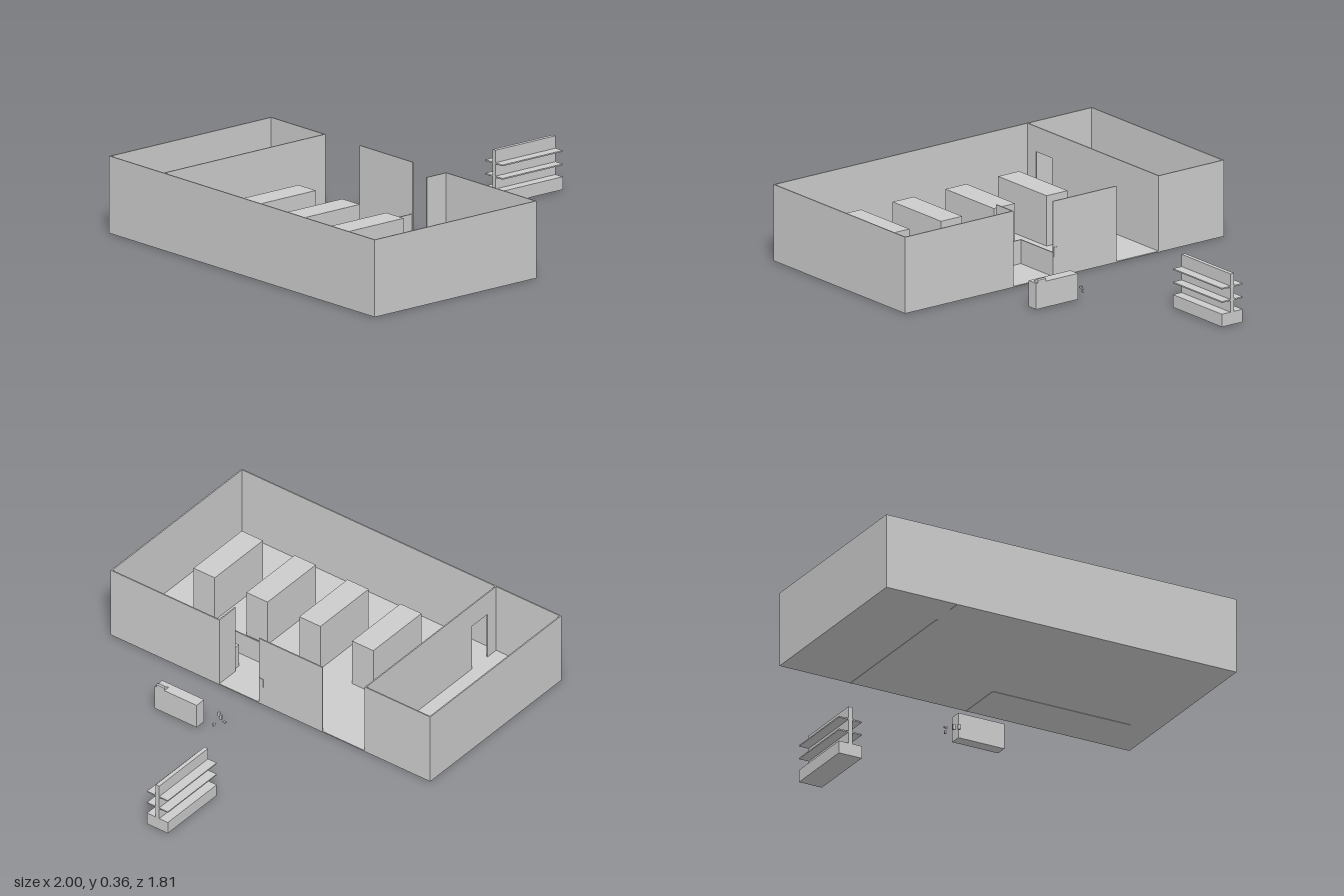
import * as THREE from 'three';

const material = new THREE.MeshStandardMaterial({ color: 0xcccccc, flatShading: true });

// Box given by its minimum and maximum along x, y and z
function block(parent, name, [x0, x1], [y0, y1], [z0, z1]) {
  const mesh = new THREE.Mesh(new THREE.BoxGeometry(x1 - x0, y1 - y0, z1 - z0), material);
  mesh.position.set((x0 + x1) / 2, (y0 + y1) / 2, (z0 + z1) / 2);
  mesh.name = name;
  parent.add(mesh);
  return mesh;
}

function makeGroup(parent, name) {
  const g = new THREE.Group();
  g.name = name;
  parent.add(g);
  return g;
}

export function createModel() {
  const model = new THREE.Group();
  model.name = 'shop';
  const T = 0.006, H = 0.363, L = -1, R = -0.034, B = -0.907, F = 0.907;
  const full = [0.003, H];

  // Floor and outer walls
  const room = makeGroup(model, 'room');
  block(room, 'floor', [L, R], [0.002, 0.007], [B, F]);
  block(room, 'frontWall', [L, R], full, [F - T, F]);
  block(room, 'backWall', [L, R], full, [B, B + T]);
  block(room, 'sideWall', [L, L + T], full, [B, F]);

  // Open side, left with two entrances
  for (const z of [[B, -0.535], [-0.295, 0.065], [0.293, F]])
    block(room, 'entranceWall', [R - T, R], full, z);
  block(room, 'entranceReturn', [-0.155, R], full, [0.29, 0.296]);
  block(room, 'doorHandle', [R, R + 0.003], [0.1, 0.145], [0.04, 0.062]);

  // Dividing wall with a doorway to the back room
  const wall = new THREE.Shape();
  [[L, 0], [-0.93, 0], [-0.93, 0.245], [-0.815, 0.245], [-0.815, 0], [R, 0], [R, H], [L, H]]
    .forEach(([x, y], i) => (i ? wall.lineTo(x, y) : wall.moveTo(x, y)));
  const divider = new THREE.Mesh(
    new THREE.ExtrudeGeometry(wall, { depth: T, bevelEnabled: false }), material);
  divider.name = 'dividingWall';
  divider.position.z = -0.541;
  room.add(divider);

  // Low L-shaped partition around the checkout
  const partition = makeGroup(model, 'lowPartition');
  block(partition, 'partitionLong', [-0.278, -0.272], [0, 0.12], [0.058, 0.775]);
  block(partition, 'partitionShort', [-0.278, R], [0, 0.12], [0.058, 0.064]);

  // Shelf blocks in a row, checkout counter and corner cabinet
  const fittings = makeGroup(model, 'fittings');
  for (let i = 0; i < 4; i++)
    block(fittings, 'aisleShelf', [-0.755, -0.4], [0.005, 0.245], [-0.302 + i * 0.3, -0.182 + i * 0.3]);
  block(fittings, 'checkoutCounter', [-0.195, -0.135], [0.005, 0.126], [0.302, 0.542]);
  block(fittings, 'cornerCabinet', [-0.157, R - T], [0.005, 0.245], [0.72, F - T]);

  // Separate counter with a slanted register
  const counter = makeGroup(model, 'counter');
  block(counter, 'counterBody', [0.23, 0.286], [0.004, 0.127], [0.172, 0.41]);
  const wedge = new THREE.Shape();
  wedge.moveTo(0.256, 0.127);
  wedge.lineTo(0.286, 0.127);
  wedge.lineTo(0.286, 0.14);
  wedge.lineTo(0.28, 0.145);
  wedge.lineTo(0.256, 0.131);
  const register = new THREE.Mesh(
    new THREE.ExtrudeGeometry(wedge, { depth: 0.045, bevelEnabled: false }), material);
  register.name = 'register';
  register.position.z = 0.355;
  counter.add(register);

  // Separate two-sided display rack
  const rack = makeGroup(model, 'displayRack');
  const rx = [0.637, 0.997];
  block(rack, 'rackBase', rx, [0.004, 0.064], [-0.213, -0.095]);
  block(rack, 'rackPanel', rx, [0.064, 0.245], [-0.164, -0.144]);
  for (const y of [0.121, 0.184])
    block(rack, 'rackShelf', rx, [y - 0.003, y + 0.003], [-0.213, -0.095]);

  // Small loose goods
  const goods = makeGroup(model, 'looseGoods');
  for (const [x, y, z, w, h, d] of [
    [0.163, 0.022, 0.137, 0.008, 0.024, 0.014],
    [0.176, 0.022, 0.118, 0.008, 0.026, 0.012],
    [0.195, 0.021, 0.085, 0.009, 0.008, 0.016],
    [0.24, 0.021, 0.11, 0.012, 0.014, 0.008],
  ]) block(goods, 'smallItem', [x - w / 2, x + w / 2], [y - h / 2, y + h / 2], [z - d / 2, z + d / 2]);

  return model;
}
